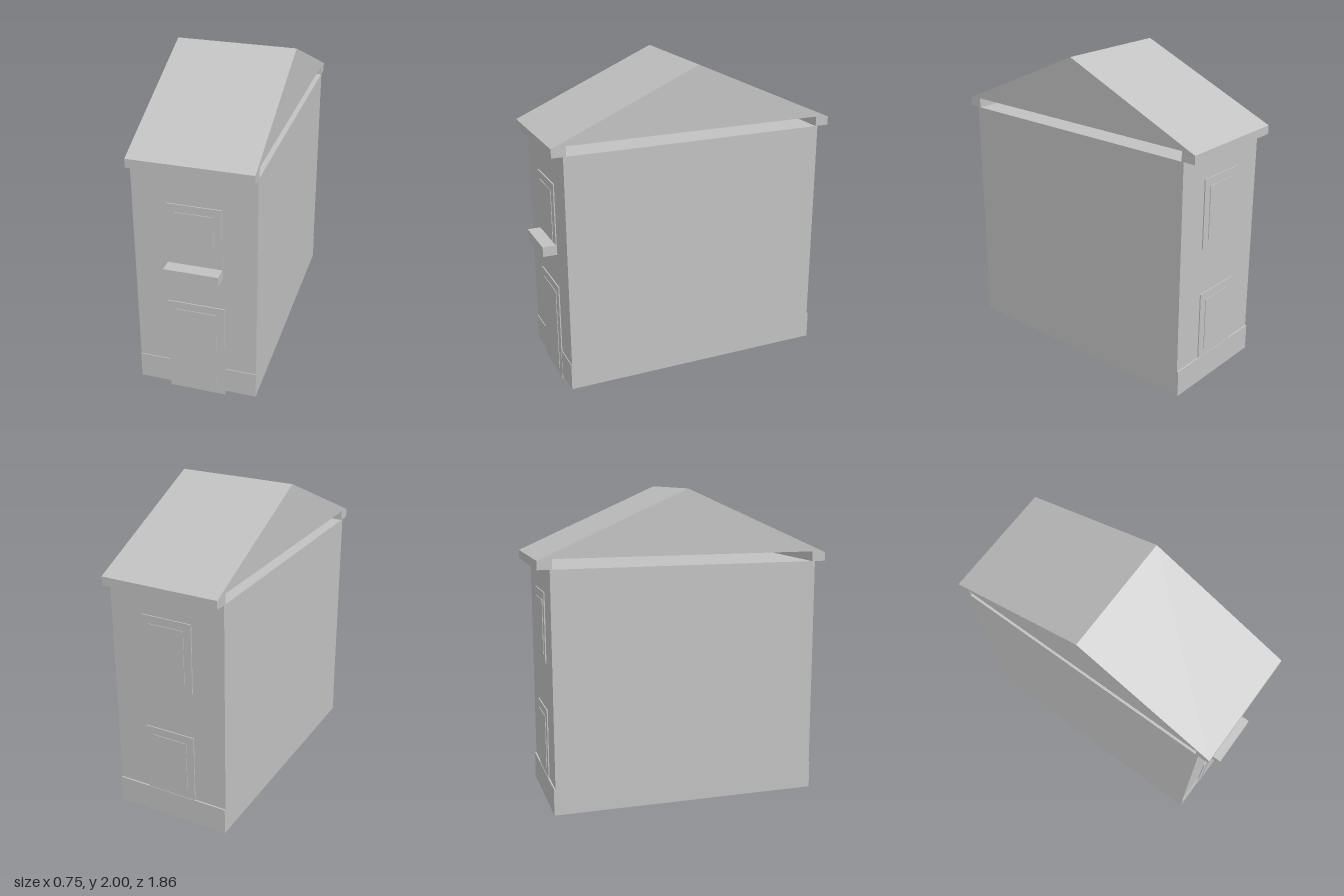
import * as THREE from 'three';

export function createModel() {
  const model = new THREE.Group();
  const stone = new THREE.MeshStandardMaterial({ color: 0xc2c2c2 });
  stone.name = 'pale grey stone';

  const HALF = 0.375;               // half width of the building
  const FRONT = 0.841, BACK = -0.856; // wall planes

  // Box given by its limits on each axis
  function box(name, x0, x1, y0, y1, z0, z1, parent = model) {
    const mesh = new THREE.Mesh(new THREE.BoxGeometry(x1 - x0, y1 - y0, z1 - z0), stone);
    mesh.position.set((x0 + x1) / 2, (y0 + y1) / 2, (z0 + z1) / 2);
    mesh.name = name;
    parent.add(mesh);
  }

  // Walls standing on a slightly deeper plinth
  box('walls', -HALF, HALF, 0.2, 1.54, BACK, FRONT);
  box('plinth', -HALF, HALF, 0.03, 0.2, -0.866, 0.846);

  // Gabled roof: profile in (z, y) with an eave block hanging at each end
  const profile = new THREE.Shape([
    [0.911, 1.54], [0.911, 1.594], [-0.01, 2], [-0.931, 1.594], [-0.931, 1.54],
    [-0.842, 1.54], [-0.842, 1.602], [0.822, 1.602], [0.822, 1.54],
  ].map(([z, y]) => new THREE.Vector2(z, y)));
  const roofGeometry = new THREE.ExtrudeGeometry(profile, { depth: 2 * HALF, bevelEnabled: false });
  roofGeometry.rotateY(-Math.PI / 2).translate(HALF, 0, 0);
  const roof = new THREE.Mesh(roofGeometry, stone);
  roof.name = 'roof';
  model.add(roof);

  // Opening: a thin frame plate with a smaller, slightly prouder panel
  function opening(name, side, halfWidth, y0, y1) {
    const group = new THREE.Group();
    group.name = name;
    const inset = 0.05;
    const wall = side > 0 ? FRONT : BACK;
    const layer = (part, w, a, b, proud) => {
      const outer = wall + side * proud;
      box(part, -w, w, a, b, Math.min(wall, outer), Math.max(wall, outer), group);
    };
    layer('frame', halfWidth, y0, y1, 0.007);
    layer('panel', halfWidth - inset, y0 + inset, y1 - inset, 0.011);
    model.add(group);
  }
  opening('door', 1, 0.178, 0, 0.645);
  opening('frontWindow', 1, 0.165, 0.88, 1.315);
  opening('backLowerWindow', -1, 0.165, 0.2, 0.64);
  opening('backUpperWindow', -1, 0.165, 0.94, 1.38);

  // Ledge below the front window
  box('windowLedge', -0.167, 0.167, 0.86, 0.922, FRONT - 0.01, 0.931);

  return model;
}
